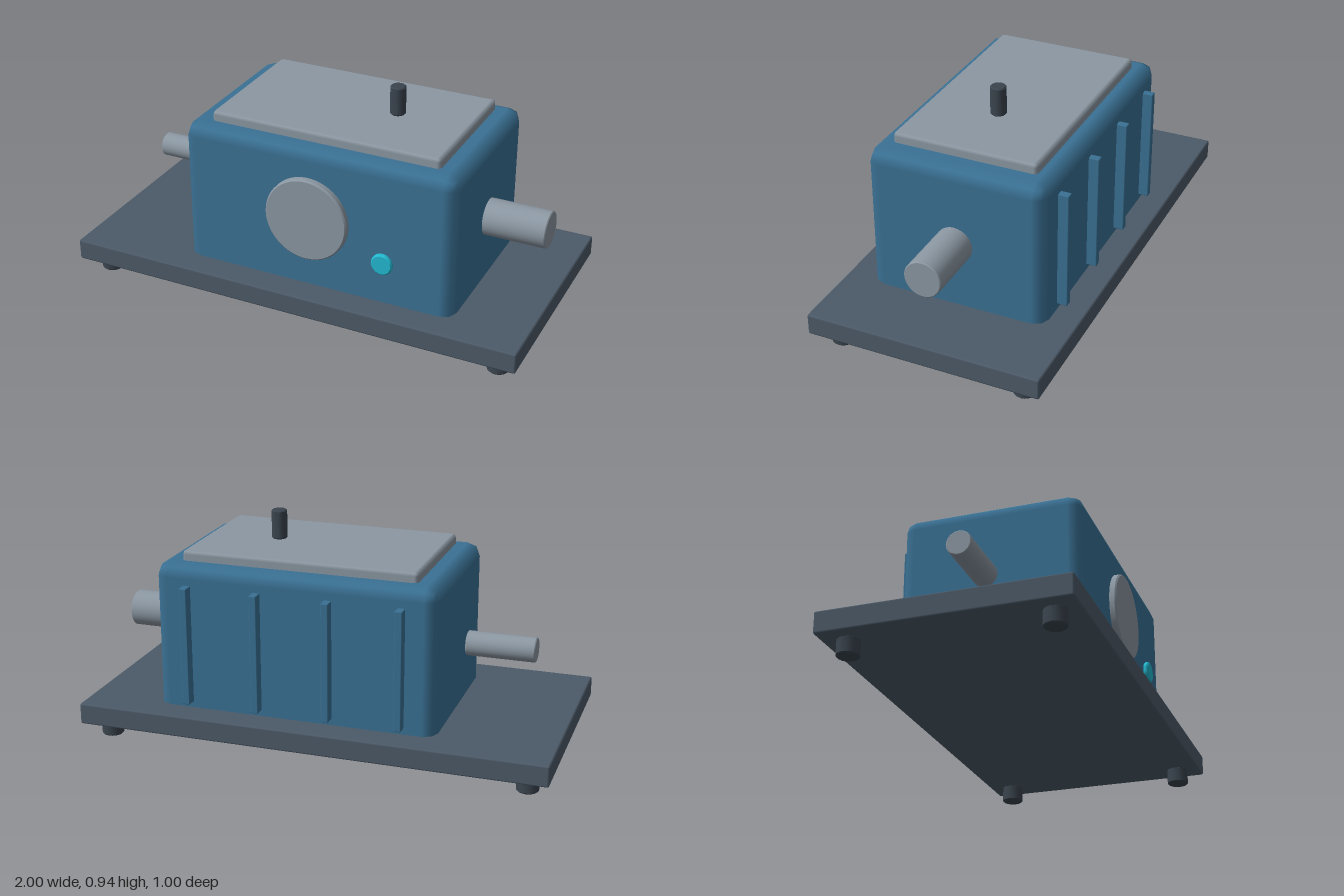
import * as THREE from 'three';
import { RoundedBoxGeometry } from 'three/addons/geometries/RoundedBoxGeometry.js';
import { toCreasedNormals } from 'three/addons/utils/BufferGeometryUtils.js';

const paint = (color) => new THREE.MeshStandardMaterial({ color });

export function createModel() {
  const model = new THREE.Group();
  const blue = paint(0x3a7194);
  const slate = paint(0x4c5a68);
  const dark = paint(0x3a444e);
  const steel = paint(0x8b97a2);
  const cyan = paint(0x22b8cf);

  const add = (name, geometry, material, x, y, z) => {
    const mesh = new THREE.Mesh(geometry, material);
    mesh.name = name;
    mesh.position.set(x, y, z);
    model.add(mesh);
    return mesh;
  };

  // Box with a two-facet rounded edge, given by its extents
  const box = (name, material, [x0, x1], [y0, y1], [z0, z1], radius) =>
    add(name, new RoundedBoxGeometry(x1 - x0, y1 - y0, z1 - z0, 1, radius), material,
      (x0 + x1) / 2, (y0 + y1) / 2, (z0 + z1) / 2);

  // Solid rod along y with slightly broken rims
  const rod = (radius, length, bevel, sides = 32) => {
    const h = length / 2;
    const profile = [
      [0, -h], [radius - bevel, -h], [radius, -h + bevel],
      [radius, h - bevel], [radius - bevel, h], [0, h],
    ].map(([x, y]) => new THREE.Vector2(x, y));
    return toCreasedNormals(new THREE.LatheGeometry(profile, sides), 0.5);
  };

  // Base plate on four feet
  box('basePlate', slate, [-1, 1], [0.066, 0.157], [-0.5, 0.5], 0.008);
  for (const x of [-0.9, 0.9]) {
    for (const z of [-0.4, 0.4]) {
      add('foot', rod(0.046, 0.07, 0.005, 20), dark, x, 0.035, z);
    }
  }

  // Housing and its lid
  box('housing', blue, [-0.515, 0.688], [0.09, 0.772], [-0.381, 0.381], 0.056);
  box('lid', steel, [-0.416, 0.59], [0.755, 0.814], [-0.308, 0.308], 0.016);
  add('lidPin', rod(0.033, 0.124, 0.005, 24), dark, 0.277, 0.876, 0);

  // Shafts at both ends
  add('leftShaft', rod(0.078, 0.29, 0.004), steel, 0.808, 0.436, 0).rotation.z = Math.PI / 2;
  add('rightShaft', rod(0.052, 0.29, 0.004), steel, -0.695, 0.437, 0).rotation.z = Math.PI / 2;

  // Front cover and indicator
  add('frontCover', rod(0.181, 0.045, 0.006, 48), steel, 0.056, 0.467, 0.387).rotation.x = Math.PI / 2;
  add('indicator', rod(0.046, 0.022, 0.006), cyan, 0.394, 0.35, 0.405).rotation.x = Math.PI / 2;

  // Cooling ribs on the back
  for (let i = 0; i < 4; i++) {
    const x = -0.37 + i * 0.304;
    box('coolingRib', blue, [x - 0.016, x + 0.016], [0.183, 0.688], [-0.425, -0.36], 0.004);
  }

  return model;
}
